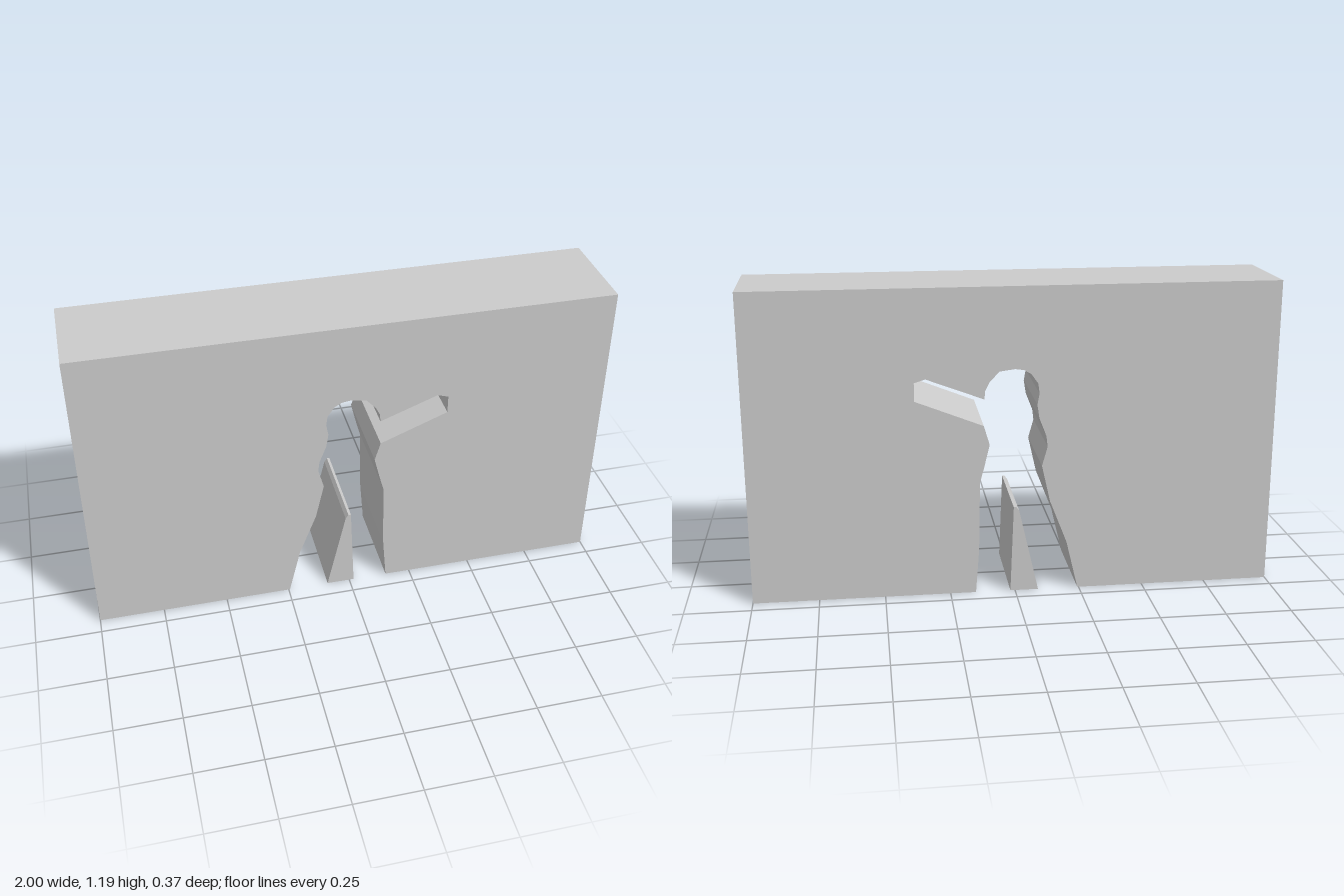
import * as THREE from 'three';

const WIDTH = 2, HEIGHT = 1.19, DEPTH = 0.374;

// Standing figure with one arm raised, from one foot over the head to the other foot
const figure = [
  [-0.245, 0], [-0.2, 0.19], [-0.134, 0.36], [-0.102, 0.503], [-0.123, 0.578], [-0.118, 0.62],
  [-0.091, 0.69], [-0.083, 0.743], [-0.091, 0.786], [-0.086, 0.824], [-0.06, 0.861], [-0.033, 0.877],
  [0, 0.882], [0.059, 0.874], [0.096, 0.834], [0.112, 0.802], [0.115, 0.77],
  [0.332, 0.853], [0.374, 0.84], [0.374, 0.77], [0.118, 0.668],
  [0.096, 0.594], [0.118, 0.503], [0.134, 0.444], [0.137, 0.24], [0.139, 0.17], [0.152, 0],
];

// Wedge left standing between the legs
const wedge = [[-0.09, 0], [0.018, 0], [0.005, 0.342], [-0.005, 0.342], [-0.016, 0.326]];

function slab(name, points) {
  const shape = new THREE.Shape(points.map(([x, y]) => new THREE.Vector2(x, y)));
  const geometry = new THREE.ExtrudeGeometry(shape, { depth: DEPTH, bevelEnabled: false });
  geometry.translate(0, 0, -DEPTH / 2);
  const mesh = new THREE.Mesh(geometry, new THREE.MeshStandardMaterial({ color: 0xcccccc }));
  mesh.name = name;
  return mesh;
}

export function createModel() {
  const model = new THREE.Group();
  model.name = 'wallWithFigureOpening';

  // Wall block with the figure cut through to the ground
  const w = WIDTH / 2;
  model.add(slab('wall', [[-w, 0], ...figure, [w, 0], [w, HEIGHT], [-w, HEIGHT]]));
  model.add(slab('legWedge', wedge));
  return model;
}
